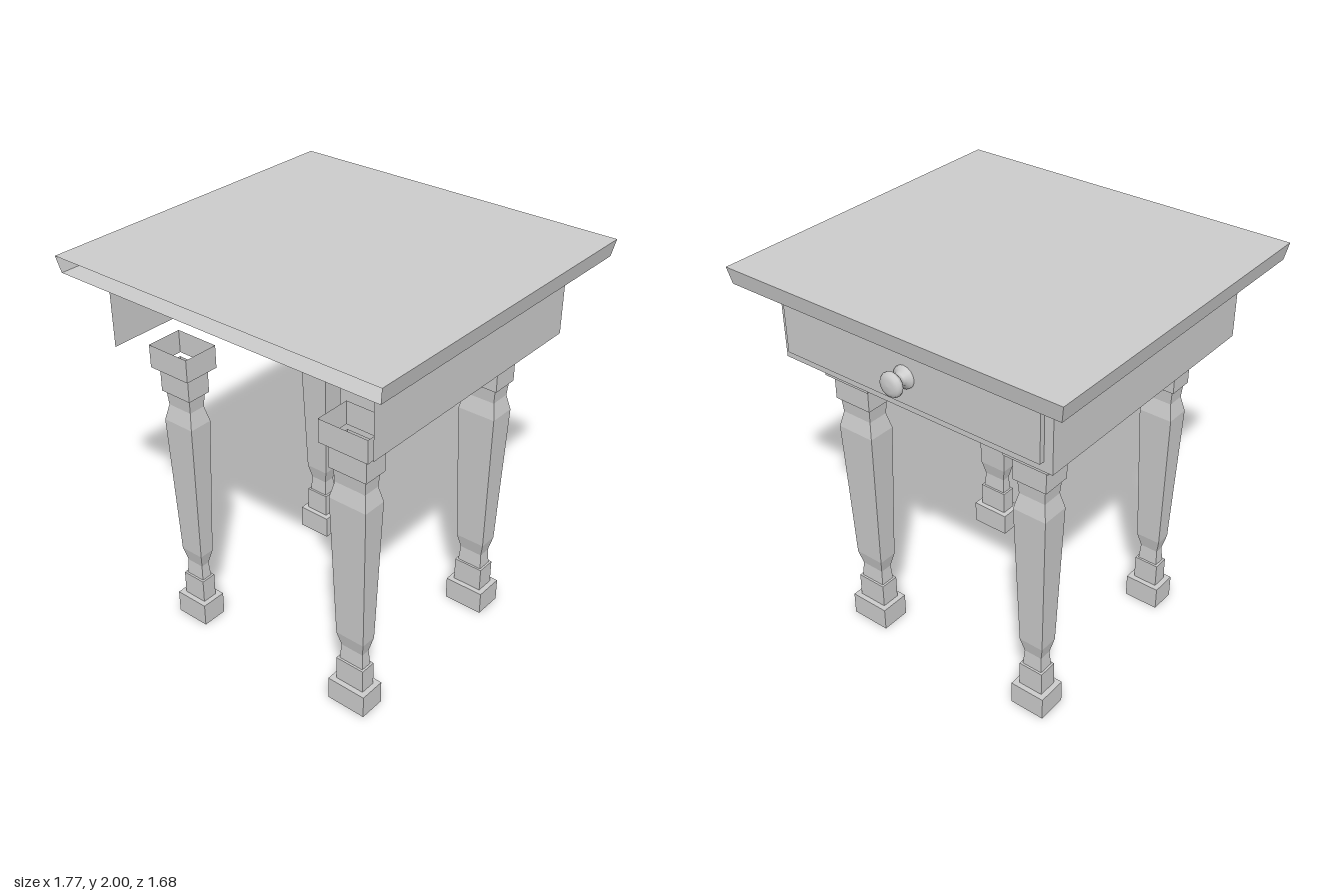
import * as THREE from 'three';

const material = new THREE.MeshStandardMaterial({ color: 0xcccccc, flatShading: true, side: THREE.DoubleSide });
const smoothMaterial = new THREE.MeshStandardMaterial({ color: 0xcccccc, side: THREE.DoubleSide });

// Rectangular ring at height y, ordered so that walls face outward
const ring = (y, hx, hz) => [[hx, y, hz], [hx, y, -hz], [-hx, y, -hz], [-hx, y, hz]];

function quadMesh(name, quads) {
  const points = quads.flatMap(([a, b, c, d]) => [a, b, c, a, c, d]);
  const geometry = new THREE.BufferGeometry();
  geometry.setAttribute('position', new THREE.Float32BufferAttribute(points.flat(), 3));
  geometry.computeVertexNormals();
  const mesh = new THREE.Mesh(geometry, material);
  mesh.name = name;
  return mesh;
}

// Walls between two rings; three sides leave the front (+z) open
function walls(lower, upper, sides = 4) {
  const quads = [];
  for (let i = 0; i < sides; i++) {
    const j = (i + 1) % 4;
    quads.push([lower[i], lower[j], upper[j], upper[i]]);
  }
  return quads;
}

// Leg sections from foot to cap: [height, half depth] runs; runs are separate shells
const legRuns = [
  [[0, 0.067], [0.12, 0.067], [0.12, 0.04], [0.245, 0.04], [0.245, 0.029],
    [0.325, 0.023], [0.4, 0.04], [1.155, 0.062], [1.235, 0.044], [1.31, 0.05]],
  [[1.31, 0.064], [1.435, 0.064]],
  [[1.435, 0.0925], [1.55, 0.0925]],
];

function makeLeg(name, x, z, extraX, extraZ) {
  const quads = [];
  for (const run of legRuns) {
    const rings = run.map(([y, h]) => ring(y, h + extraX, h + extraZ));
    for (let i = 1; i < rings.length; i++) quads.push(...walls(rings[i - 1], rings[i]));
  }
  const leg = quadMesh(name, quads);
  leg.position.set(x, 0, z);
  return leg;
}

export function createModel() {
  const table = new THREE.Group();
  table.name = 'sideTable';

  // Tabletop with sloping edges, open at the front
  const under = ring(1.92, 0.87, 0.828);
  const upper = ring(2, 0.885, 0.842);
  table.add(quadMesh('tabletop', [upper, [...under].reverse(), ...walls(under, upper, 3)]));

  // Apron: thin back and side panels
  table.add(quadMesh('apron', walls(ring(1.547, 0.735, 0.69), ring(1.92, 0.735, 0.69), 3)));

  // Drawer front
  const drawer = new THREE.Mesh(new THREE.BoxGeometry(1.385, 0.275, 0.026), material);
  drawer.name = 'drawerFront';
  drawer.position.set(0, 1.733, -0.704);
  table.add(drawer);

  // Turned knob, pointing out of the drawer
  const profile = [[0.054, 0], [0.052, 0.01], [0.036, 0.017], [0.029, 0.03], [0.029, 0.044],
    [0.045, 0.056], [0.057, 0.068], [0.058, 0.08], [0.05, 0.093], [0.03, 0.1], [0, 0.102]];
  const knob = new THREE.Mesh(
    new THREE.LatheGeometry(profile.map(([r, h]) => new THREE.Vector2(r, h)), 16), smoothMaterial);
  knob.name = 'drawerKnob';
  knob.rotation.x = -Math.PI / 2;
  knob.position.set(0, 1.73, -0.717);
  table.add(knob);

  // Legs: left ones a little wider, back ones a little deeper
  for (const [side, x, extraX] of [['Right', -0.513, 0.024], ['Left', 0.495, 0.038]]) {
    table.add(makeLeg('front' + side + 'Leg', x, 0.492, extraX, 0));
    table.add(makeLeg('back' + side + 'Leg', x, -0.475, extraX, 0.009));
  }
  return table;
}
